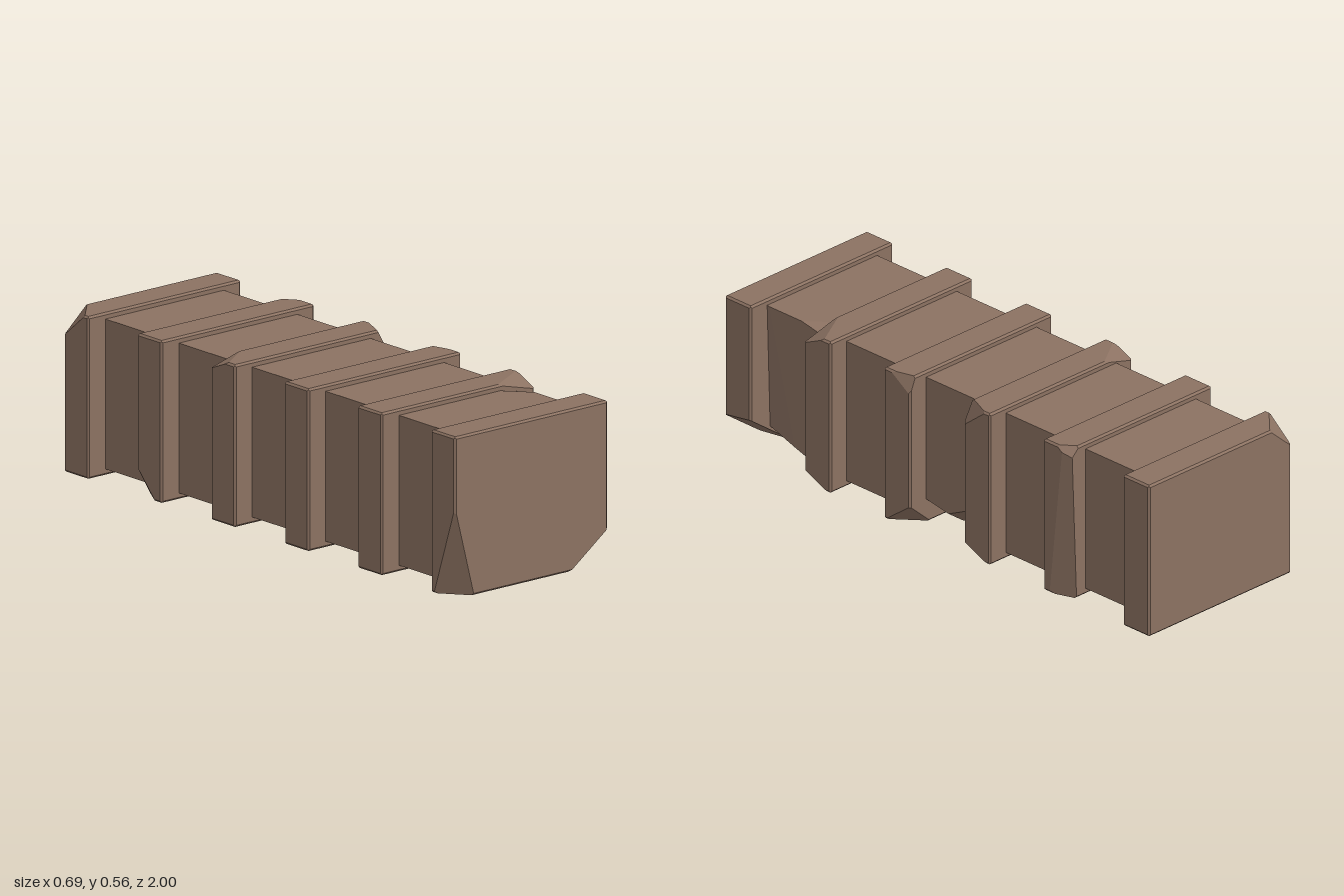
import * as THREE from 'three';
import { ConvexGeometry } from 'three/addons/geometries/ConvexGeometry.js';

const V = (x, y, z) => new THREE.Vector3(x, y, z);

// Box with slightly bevelled edges, chipped by planes (three points each)
function chippedBlock(min, max, bevel, cuts) {
  const center = min.clone().add(max).multiplyScalar(0.5);
  const half = max.clone().sub(min).multiplyScalar(0.5);
  const planes = [];
  const add = (n, reach) => {
    n.normalize();
    planes.push({ n, d: n.dot(center) + reach });
  };
  for (const s of [-1, 1]) {
    add(V(s, 0, 0), half.x);
    add(V(0, s, 0), half.y);
    add(V(0, 0, s), half.z);
    for (const t of bevel ? [-1, 1] : []) {
      add(V(s, t, 0), (half.x + half.y - bevel) / Math.SQRT2);
      add(V(s, 0, t), (half.x + half.z - bevel) / Math.SQRT2);
      add(V(0, s, t), (half.y + half.z - bevel) / Math.SQRT2);
    }
  }
  for (const pts of cuts) {
    const [a, b, c] = pts.map((p) => V(...p));
    const n = b.clone().sub(a).cross(c.clone().sub(a)).normalize();
    if (n.dot(center) > n.dot(a)) n.negate();
    planes.push({ n, d: n.dot(a) });
  }
  // Corners are the plane triples that lie inside every other plane
  const corners = [];
  for (let i = 0; i < planes.length; i++)
    for (let j = i + 1; j < planes.length; j++)
      for (let k = j + 1; k < planes.length; k++) {
        const [p, q, r] = [planes[i], planes[j], planes[k]];
        const qr = q.n.clone().cross(r.n);
        const det = p.n.dot(qr);
        if (Math.abs(det) < 1e-5) continue;
        const v = qr.multiplyScalar(p.d)
          .addScaledVector(r.n.clone().cross(p.n), q.d)
          .addScaledVector(p.n.clone().cross(q.n), r.d)
          .divideScalar(det);
        if (planes.every((o) => o.n.dot(v) < o.d + 1e-6) &&
            corners.every((o) => o.distanceTo(v) > 1e-4)) corners.push(v);
      }
  return new ConvexGeometry(corners);
}

export function createModel() {
  const model = new THREE.Group();
  model.name = 'ribbedBeam';
  const wood = new THREE.MeshStandardMaterial({ color: 0x8c7262 });
  wood.name = 'weathered brown';
  const beam = new THREE.Group();
  beam.name = 'beam';
  beam.rotation.y = -0.009;
  model.add(beam);

  const W = 0.336, H = 0.563;
  const ribZ = [-0.935, -0.561, -0.187, 0.187, 0.561, 0.935];

  // Chips on each rib, back to front
  const ribCuts = [
    [[[-0.23, H, -1], [-W, H, -0.89], [-W, 0.47, -1]]],
    [[[0.29, H, -0.62], [W, H, -0.56], [W, 0.52, -0.62]],
      [[W, 0, -0.53], [W, H, -0.59], [0.31, 0.2, -0.623]],
      [[-W, 0.1, -0.623], [-W, 0, -0.53], [-0.28, 0, -0.623]]],
    [[[0.29, H, -0.125], [W, H, -0.23], [W, 0.48, -0.125]],
      [[W, 0.05, -0.125], [W, 0, -0.24], [0.26, 0, -0.125]],
      [[-0.2, H, -0.25], [-W, H, -0.16], [-W, 0.525, -0.25]]],
    [[[0.31, H, 0.125], [W, H, 0.22], [W, 0.5, 0.125]],
      [[W, 0.085, 0.125], [W, 0, 0.24], [0.24, 0, 0.125]]],
    [[[0.21, H, 0.6], [W, H, 0.53], [W, 0.52, 0.623]],
      [[W, 0.05, 0.623], [W, 0, 0.51], [0.24, 0, 0.623]]],
    [[[-W, 0.33, 1], [-0.25, 0, 1], [-W, 0, 0.89]],
      [[W, 0.12, 1], [W, 0.14, 0.87], [0.17, 0, 1]]],
  ];
  ribZ.forEach((z, i) => {
    const geo = chippedBlock(V(-W, 0, z - 0.062), V(W, H, z + 0.062), 0.007, ribCuts[i]);
    const rib = new THREE.Mesh(geo, wood);
    rib.name = `rib${i + 1}`;
    beam.add(rib);
  });

  // Core sections between the ribs, with chips along their lower edge
  const coreCuts = [
    [], [],
    [[[0.26, 0.045, -0.125], [0.26, 0.07, 0.02], [0.19, 0.02, 0.02]],
      [[0.26, 0.07, 0.02], [0.26, 0.02, 0.125], [0.19, 0.02, 0.02]]],
    [],
    [[[0.26, 0.1, 0.873], [0.26, 0.035, 0.66], [0.16, 0.02, 0.873]],
      [[0.2, 0.542, 0.64], [0.26, 0.542, 0.71], [0.26, 0.525, 0.62]],
      [[0.26, 0.5, 0.85], [0.26, 0.1, 0.75], [0.245, 0.1, 0.873]]],
  ];
  coreCuts.forEach((cuts, i) => {
    const geo = chippedBlock(V(-0.26, 0.022, ribZ[i] + 0.03), V(0.26, 0.542, ribZ[i + 1] - 0.03), 0, cuts);
    const core = new THREE.Mesh(geo, wood);
    core.name = `coreSection${i + 1}`;
    beam.add(core);
  });
  return model;
}
